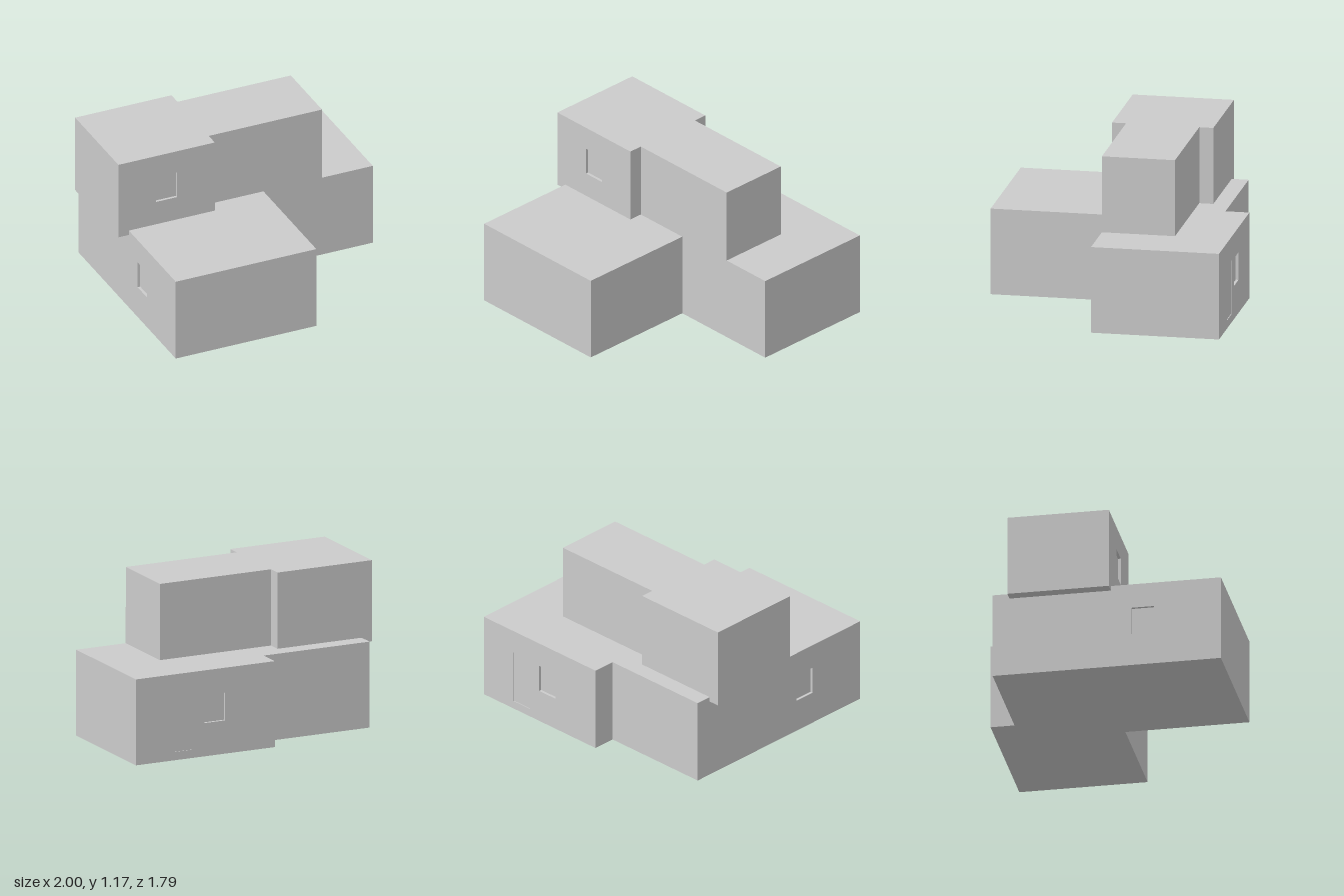
import * as THREE from 'three';

const material = new THREE.MeshStandardMaterial({ color: 0xcccccc, flatShading: true });

function addMesh(parent, name, geometry) {
  const mesh = new THREE.Mesh(geometry, material);
  mesh.name = name;
  parent.add(mesh);
  return mesh;
}

// Open-fronted recess: a box without its outer face, turned inside out
function recessGeometry(w, h, depth) {
  const geo = new THREE.BoxGeometry(w, h, depth);
  const index = Array.from(geo.index.array);
  index.splice(24, 6);
  geo.setIndex(index.reverse());
  geo.clearGroups();
  geo.computeVertexNormals();
  return geo;
}

// Flat wall from a to b (a on the left seen from outside), with recessed openings
function addWall(parent, name, a, b, y0, y1, openings) {
  const length = Math.hypot(b[0] - a[0], b[1] - a[1]);
  const shape = new THREE.Shape();
  shape.moveTo(0, 0).lineTo(length, 0).lineTo(length, y1 - y0).lineTo(0, y1 - y0);
  const wall = new THREE.Group();
  wall.name = name;
  for (const { name: label, u, y, w, h, depth } of openings) {
    const v = y - y0;
    const hole = new THREE.Path();
    hole.moveTo(u, v).lineTo(u, v + h).lineTo(u + w, v + h).lineTo(u + w, v);
    shape.holes.push(hole);
    addMesh(wall, label, recessGeometry(w, h, depth)).position.set(u + w / 2, v + h / 2, -depth / 2);
  }
  addMesh(wall, name + 'Face', new THREE.ShapeGeometry(shape));
  wall.position.set(a[0], y0, a[1]);
  wall.rotation.y = Math.atan2(a[1] - b[1], b[0] - a[0]);
  parent.add(wall);
}

// Block over a floor plan of [x, z] corners; openings are keyed by wall number
function addBlock(parent, name, plan, y0, y1, openings = {}) {
  const block = new THREE.Group();
  block.name = name;
  plan.forEach((a, i) => {
    addWall(block, 'wall' + (i + 1), a, plan[(i + 1) % plan.length], y0, y1, openings[i] || []);
  });
  const outline = (sign) => new THREE.Shape(plan.map(([x, z]) => new THREE.Vector2(x, sign * z)));
  addMesh(block, 'roof', new THREE.ShapeGeometry(outline(-1)).rotateX(-Math.PI / 2)).position.y = y1;
  addMesh(block, 'underside', new THREE.ShapeGeometry(outline(1)).rotateX(Math.PI / 2)).position.y = y0;
  parent.add(block);
}

const pane = (u, y) => ({ name: 'window', u, y, w: 0.16, h: 0.2, depth: 0.02 });

export function createModel() {
  const house = new THREE.Group();
  house.name = 'house';

  // Ground floor with a back door and two windows
  const groundPlan = [
    [-0.92, 0.89], [0.16, 0.89], [0.16, 0.01], [1, 0.01],
    [1, -0.9], [-0.09, -0.9], [-0.09, -0.73], [-0.92, -0.73],
  ];
  const door = { name: 'door', u: 0.29, y: 0.06, w: 0.16, h: 0.39, depth: 0.005 };
  addBlock(house, 'groundFloor', groundPlan, 0, 0.62, {
    4: [door, pane(0.54, 0.24)],
    7: [pane(0.985, 0.24)],
  });

  // Upper floor: wider wing that overhangs the side wall, and a narrower hall
  const wingPlan = [[-1, 0.11], [-0.26, 0.11], [-0.26, -0.61], [-1, -0.61]];
  addBlock(house, 'upperWing', wingPlan, 0.585, 1.17, { 0: [pane(0.29, 0.8)] });
  const hallPlan = [[-0.26, 0.01], [0.61, 0.01], [0.61, -0.51], [-0.26, -0.51]];
  addBlock(house, 'upperHall', hallPlan, 0.62, 1.17);

  return house;
}
